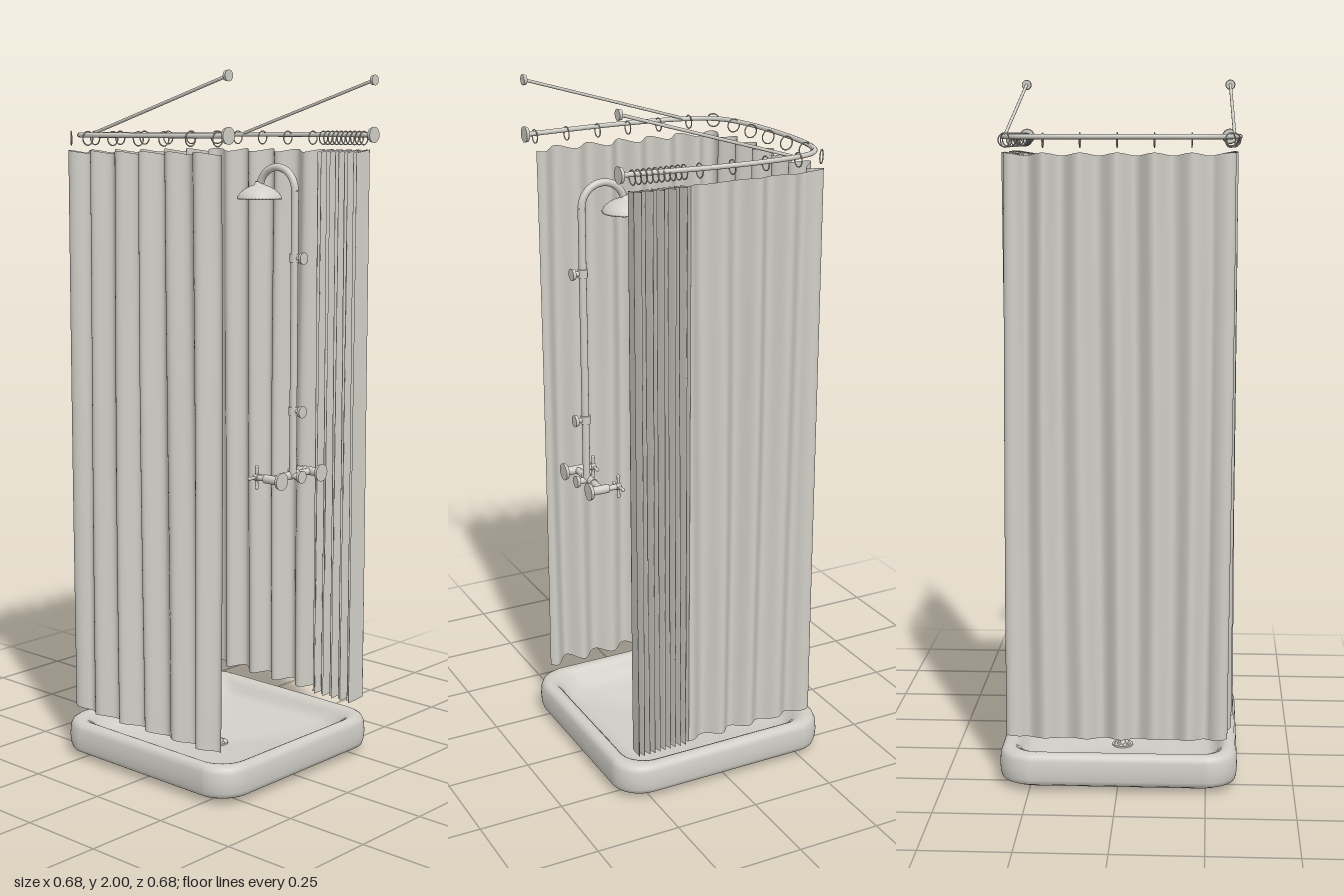
import * as THREE from 'three';

const enamel = new THREE.MeshStandardMaterial({ color: 0xd0cec6 });
enamel.name = 'pale grey';
const cloth = new THREE.MeshStandardMaterial({ color: 0xd0cec6, side: THREE.DoubleSide });
cloth.name = 'pale grey cloth';

function add(parent, name, geometry, x = 0, y = 0, z = 0, material = enamel) {
  const mesh = new THREE.Mesh(geometry, material);
  mesh.name = name;
  mesh.position.set(x, y, z);
  parent.add(mesh);
  return mesh;
}

// Straight round bar between two points
function rod(parent, name, a, b, r0, r1 = r0, sides = 16) {
  const from = new THREE.Vector3(...a), to = new THREE.Vector3(...b);
  const dir = to.clone().sub(from);
  const mesh = add(parent, name, new THREE.CylinderGeometry(r1, r0, dir.length(), sides));
  mesh.position.copy(from).add(to).multiplyScalar(0.5);
  mesh.quaternion.setFromUnitVectors(new THREE.Vector3(0, 1, 0), dir.normalize());
  return mesh;
}

// Round plate fixed to the wall side
const flange = (parent, x, y, r) =>
  rod(parent, 'wallFlange', [x, y, 0.313], [x, y, 0.323], r * 0.9, r, 24);

// Surface lofted through rounded squares: [half size, corner radius, height]
function loftTray(profile) {
  const pos = [], idx = [], seg = 12, n = 4 * (seg + 1);
  for (const [h, r, y] of profile) {
    for (let c = 0; c < 4; c++) {
      const mid = Math.PI / 4 + c * Math.PI / 2;
      const cx = Math.sign(Math.cos(mid)) * (h - r), cz = Math.sign(Math.sin(mid)) * (h - r);
      for (let k = 0; k <= seg; k++) {
        const a = (c + k / seg) * Math.PI / 2;
        pos.push(cx + r * Math.cos(a), y, cz + r * Math.sin(a));
      }
    }
  }
  for (let j = 0; j < profile.length - 1; j++) {
    for (let i = 0; i < n; i++) {
      const a = j * n + i, b = j * n + (i + 1) % n;
      idx.push(a, a + n, b, b, a + n, b + n);
    }
  }
  const g = new THREE.BufferGeometry();
  g.setAttribute('position', new THREE.Float32BufferAttribute(pos, 3));
  g.setIndex(idx);
  g.computeVertexNormals();
  return g;
}

// Pleated sheet along a U path; the last stretch is gathered in tight folds
function curtainGeometry() {
  const path = new THREE.Path();
  path.moveTo(-0.308, 0.29).lineTo(-0.308, -0.242);
  path.absarc(-0.258, -0.242, 0.05, Math.PI, 1.5 * Math.PI, false);
  path.lineTo(0.258, -0.292);
  path.absarc(0.258, -0.242, 0.05, -Math.PI / 2, 0, false);
  path.lineTo(0.308, 0.29);
  const N = 1300, rows = 14, total = path.getLength(), gather = total - 0.165;
  const pts = path.getSpacedPoints(N), pos = [], idx = [];
  for (let j = 0; j <= rows; j++) {
    const t = j / rows;
    for (let i = 0; i <= N; i++) {
      const s = total * i / N, p = pts[i];
      const d = pts[Math.min(i + 1, N)].clone().sub(pts[Math.max(i - 1, 0)]).normalize();
      const tight = s > gather;
      let phase = (Math.min(s, gather) - total / 2) / 0.1;
      if (tight) phase += (s - gather) / 0.0165;
      phase *= 2 * Math.PI;
      let amp = 0.018 + 0.003 * Math.sin(s * 23 + t * 2);
      if (tight) amp = 0.027 + 0.007 * Math.sin(s * 190 + t);
      const off = amp * Math.cos(phase + 0.35 * Math.sin(t * 3 + s * 9));
      const wave = 0.004 * Math.cos(phase);
      const y = THREE.MathUtils.lerp(0.146 + wave, 1.786 + wave, t);
      pos.push(p.x + d.y * off, y, p.y - d.x * off);
      if (i < N && j < rows) {
        const a = j * (N + 1) + i, b = a + N + 1;
        idx.push(a, b, a + 1, a + 1, b, b + 1);
      }
    }
  }
  const g = new THREE.BufferGeometry();
  g.setAttribute('position', new THREE.Float32BufferAttribute(pos, 3));
  g.setIndex(idx);
  g.computeVertexNormals();
  return g;
}

export function createModel() {
  const model = new THREE.Group();
  model.name = 'showerEnclosure';

  // Tray with rolled rim and a floor falling to the drain
  add(model, 'tray', loftTray([
    [0.02, 0.02, 0.006], [0.15, 0.05, 0.009], [0.29, 0.08, 0.012], [0.32, 0.085, 0.014],
    [0.334, 0.088, 0.022], [0.338, 0.09, 0.035], [0.34, 0.09, 0.06], [0.338, 0.09, 0.09],
    [0.333, 0.088, 0.103], [0.323, 0.085, 0.11], [0.308, 0.08, 0.11], [0.298, 0.08, 0.105],
    [0.288, 0.085, 0.093], [0.278, 0.09, 0.075], [0.262, 0.09, 0.06], [0.23, 0.085, 0.051],
    [0.13, 0.055, 0.036], [0.03, 0.03, 0.022], [0.003, 0.003, 0.02],
  ]));

  // Drain grate with rings of holes, and its tail pipe
  const grate = new THREE.Shape().absarc(0, 0, 0.031, 0, Math.PI * 2, false);
  for (const [r, count] of [[0.008, 6], [0.016, 12], [0.024, 18]]) {
    for (let i = 0; i < count; i++) {
      const a = i / count * Math.PI * 2;
      grate.holes.push(new THREE.Path().absarc(r * Math.cos(a), r * Math.sin(a), 0.0017, 0, Math.PI * 2, true));
    }
  }
  const grateGeo = new THREE.ExtrudeGeometry(grate, { depth: 0.005, bevelEnabled: false, curveSegments: 10 });
  add(model, 'drainGrate', grateGeo.rotateX(-Math.PI / 2), 0, 0.022, 0);
  rod(model, 'drainPipe', [0, 0, 0], [0, 0.016, 0], 0.018);

  add(model, 'curtain', curtainGeometry(), 0, 0, 0, cloth);

  // Curved curtain rail
  const half = [[0.306, 0.318], [0.318, 0.2], [0.33, 0.06], [0.331, -0.07], [0.318, -0.19],
    [0.295, -0.255], [0.255, -0.292], [0.18, -0.315], [0.09, -0.326]];
  const railPts = [...half, [0, -0.329], ...half.map(([x, z]) => [-x, z]).reverse()];
  const railCurve = new THREE.CatmullRomCurve3(railPts.map(([x, z]) => new THREE.Vector3(x, 1.832, z)));
  add(model, 'curtainRail', new THREE.TubeGeometry(railCurve, 120, 0.007, 12));

  // Curtain rings: back, corners, sides and the gathered end
  const ringGeo = new THREE.TorusGeometry(0.019, 0.0018, 8, 28);
  const ring = (x, z, turn) => { add(model, 'curtainRing', ringGeo, x, 1.823, z).rotation.y = turn; };
  for (let i = -2; i <= 2; i++) ring(i * 0.1, -0.295, Math.PI / 2);
  for (const side of [-1, 1]) {
    ring(side * 0.303, -0.283, -side * Math.PI / 4);
    for (const z of [-0.205, -0.105, -0.005, 0.092]) ring(side * 0.312, z, 0);
  }
  for (const z of [0.19, 0.288]) ring(-0.312, z, 0);
  for (let i = 0; i < 10; i++) ring(0.308, 0.135 + i * 0.0165, 0);

  // Wall flanges and sloping stays that carry the rail
  for (const side of [-1, 1]) {
    const x = side * 0.307;
    flange(model, x, 1.832, 0.023);
    flange(model, x, 1.985, 0.015);
    rod(model, 'railStay', [x, 1.985, 0.318], [x + side * 0.008, 1.835, -0.185], 0.0045);
  }

  // Riser with gooseneck
  const riser = new THREE.CurvePath();
  const V = (y, z) => new THREE.Vector3(0, y, z);
  riser.add(new THREE.LineCurve3(V(0.885, 0.288), V(1.68, 0.288)));
  const neck = [];
  for (let i = 0; i <= 12; i++) {
    const a = i / 12 * Math.PI;
    neck.push(V(1.68 + 0.065 * Math.sin(a), 0.223 + 0.065 * Math.cos(a)));
  }
  add(model, 'riserPipe', new THREE.TubeGeometry(riser, 4, 0.0105, 16));
  add(model, 'gooseneck', new THREE.TubeGeometry(new THREE.CatmullRomCurve3(neck), 40, 0.0105, 16));

  // Bell-shaped shower head
  const bell = [[0, 1.663], [0.055, 1.66], [0.063, 1.656], [0.063, 1.661], [0.056, 1.672],
    [0.042, 1.684], [0.025, 1.692], [0.014, 1.696], [0.012, 1.705], [0, 1.705]];
  add(model, 'showerHead', new THREE.LatheGeometry(bell.map(([r, y]) => new THREE.Vector2(r, y)), 40), 0, 0, 0.158);

  // Riser brackets
  for (const y of [1.498, 1.07]) {
    flange(model, 0, y, 0.017);
    rod(model, 'bracketStem', [0, y, 0.32], [0, y, 0.288], 0.007);
    rod(model, 'bracketCollar', [0, y - 0.012, 0.288], [0, y + 0.012, 0.288], 0.014);
  }

  // Mixer bar with two cross-handled valves
  const my = 0.885;
  rod(model, 'mixerBar', [-0.086, my, 0.28], [0.086, my, 0.28], 0.0095);
  rod(model, 'mixerCollar', [-0.032, my, 0.28], [0.032, my, 0.28], 0.012);
  rod(model, 'mixerStem', [0, my, 0.32], [0, my, 0.28], 0.009);
  flange(model, 0, my, 0.018);
  for (const x of [-0.086, 0.086]) {
    const valve = new THREE.Group();
    valve.name = 'valve';
    valve.position.set(x, my, 0);
    model.add(valve);
    flange(valve, 0, 0, 0.025);
    rod(valve, 'valveBody', [0, 0, 0.318], [0, 0, 0.26], 0.0125);
    rod(valve, 'valveNeck', [0, 0, 0.26], [0, 0, 0.232], 0.008);
    rod(valve, 'handleHub', [0, 0, 0.236], [0, 0, 0.222], 0.01);
    for (let i = 0; i < 4; i++) {
      const c = Math.cos(i * Math.PI / 2), s = Math.sin(i * Math.PI / 2);
      rod(valve, 'handleArm', [0, 0, 0.228], [0.03 * c, 0.03 * s, 0.228], 0.004, 0.005);
      add(valve, 'handleTip', new THREE.SphereGeometry(0.0055, 12, 8), 0.03 * c, 0.03 * s, 0.228);
    }
  }
  return model;
}
